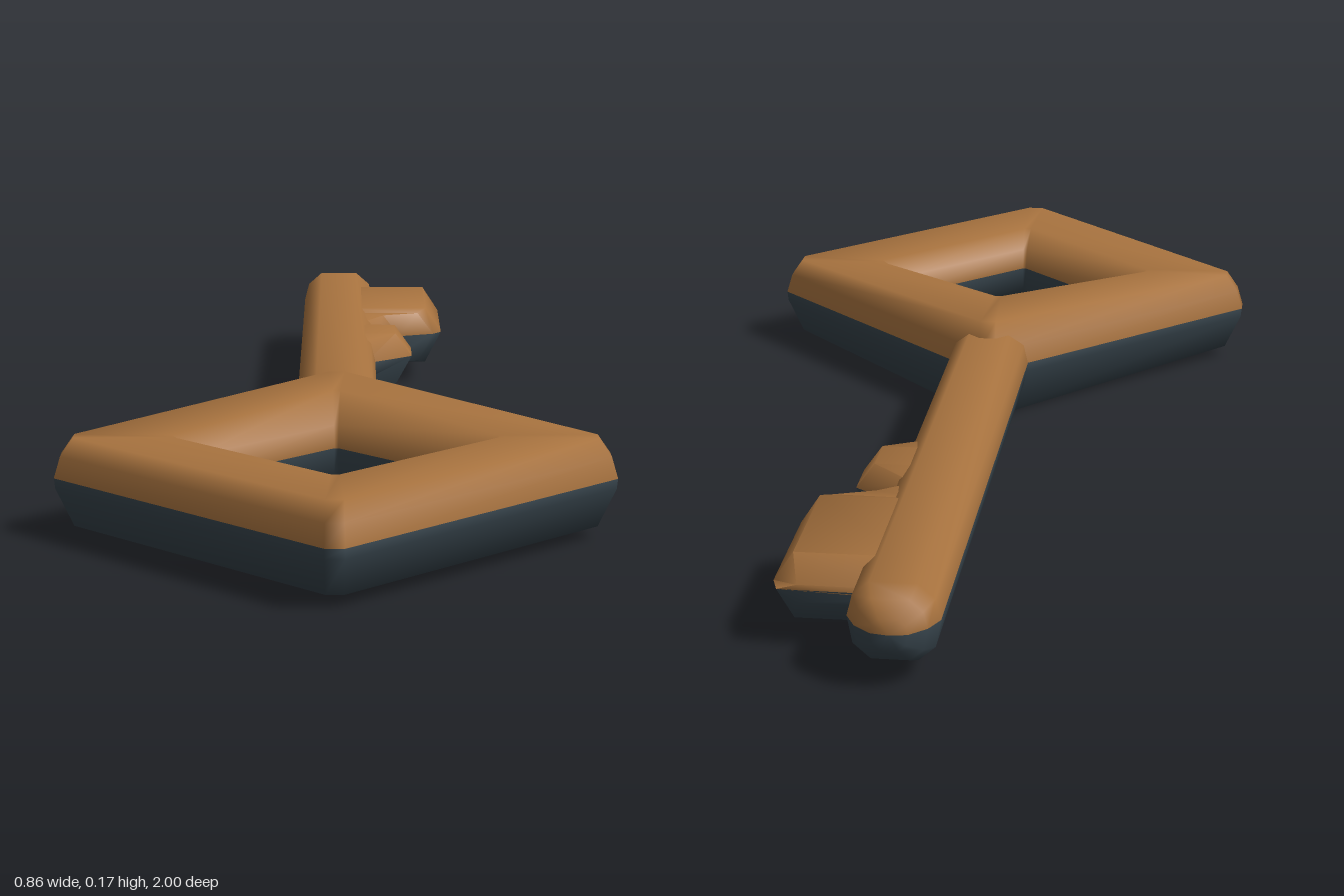
import * as THREE from 'three';
import { toCreasedNormals } from 'three/addons/utils/BufferGeometryUtils.js';

const MID = 0.0875; // height of the key's middle plane

const bronze = new THREE.MeshStandardMaterial({ color: 0xa8733f });
bronze.name = 'bronze';
const slate = new THREE.MeshStandardMaterial({ color: 0x37444c });
slate.name = 'slate';

// Skins a row of closed cross-sections; the first `top` strips are bronze, the rest slate.
function loft(sections, top, closed = false) {
  const n = sections[0].length;
  const rows = closed ? sections.length : sections.length - 1;
  const upper = [], lower = [];
  for (let i = 0; i < rows; i++) {
    for (let j = 0; j < n; j++) {
      const a = i * n, b = ((i + 1) % sections.length) * n, k = (j + 1) % n;
      (j < top ? upper : lower).push(a + j, b + j, b + k, a + j, b + k, a + k);
    }
  }
  const geo = new THREE.BufferGeometry();
  geo.setAttribute('position', new THREE.Float32BufferAttribute(sections.flat(2), 3));
  geo.setIndex([...upper, ...lower]);
  geo.addGroup(0, upper.length, 0);
  geo.addGroup(upper.length, lower.length, 1);
  geo.computeVertexNormals();
  return geo;
}

// Diamond-shaped ring with slightly blunted corners, thicker where it meets the shaft
function bowGeometry() {
  const sections = [];
  for (let corner = 0; corner < 4; corner++) {
    const h = corner === 1 ? 0.0875 : 0.069;
    const profile = [
      [0.43, 0.006], [0.42, 0.04], [0.4, h], [0.25, h], [0.205, 0.04],
      [0.19, 0.006], [0.205, -0.04], [0.25, -h], [0.4, -h], [0.428, -0.01],
    ];
    const c = Math.cos(corner * Math.PI / 2), s = Math.sin(corner * Math.PI / 2);
    for (const side of [-1, 1]) {
      sections.push(profile.map(([r, y]) => {
        const t = side * (0.003 + (r - 0.19) * 0.05);
        return [r * c - t * s, MID + y, 0.57 - (r * s + t * c)];
      }));
    }
  }
  return loft(sections, 5, true);
}

// Long bar with a rounded tip
function shaftGeometry() {
  const profile = [
    [0.068, 0.006], [0.06, 0.038], [0.035, 0.06], [-0.035, 0.06], [-0.06, 0.038],
    [-0.068, 0.006], [-0.06, -0.036], [-0.035, -0.058], [0.035, -0.058], [0.06, -0.036],
  ];
  const stations = [[0.26, 0], [0.26, 1], [-0.95, 1], [-0.98, 0.78], [-1, 0.4], [-1, 0]];
  return loft(stations.map(([z, s]) => profile.map(([x, y]) => [x * s, MID + y * s, z])), 5);
}

// Teeth along one side of the shaft: z, reach in x, half thickness
function teethGeometry() {
  const stations = [
    [-0.3, 0.05, 0.04], [-0.37, 0.135, 0.048], [-0.45, 0.135, 0.048], [-0.505, 0.065, 0.04],
    [-0.56, 0.115, 0.046], [-0.585, 0.18, 0.046], [-0.605, 0.195, 0.052],
    [-0.835, 0.195, 0.052], [-0.868, 0.185, 0.014], [-0.87, 0, 0],
  ];
  const sections = stations.map(([z, x, h]) => {
    const inner = Math.max(x - 0.03, 0);
    return [[x, 0.006], [inner, h], [0, h], [0, 0.006], [0, -h], [inner, -h]]
      .map(([px, y]) => [px, MID + y, z]);
  });
  return toCreasedNormals(loft(sections, 3), 1.1);
}

export function createModel() {
  const key = new THREE.Group();
  key.name = 'key';
  const parts = { bow: bowGeometry(), shaft: shaftGeometry(), teeth: teethGeometry() };
  for (const [name, geometry] of Object.entries(parts)) {
    const mesh = new THREE.Mesh(geometry, [bronze, slate]);
    mesh.name = name;
    key.add(mesh);
  }
  return key;
}
